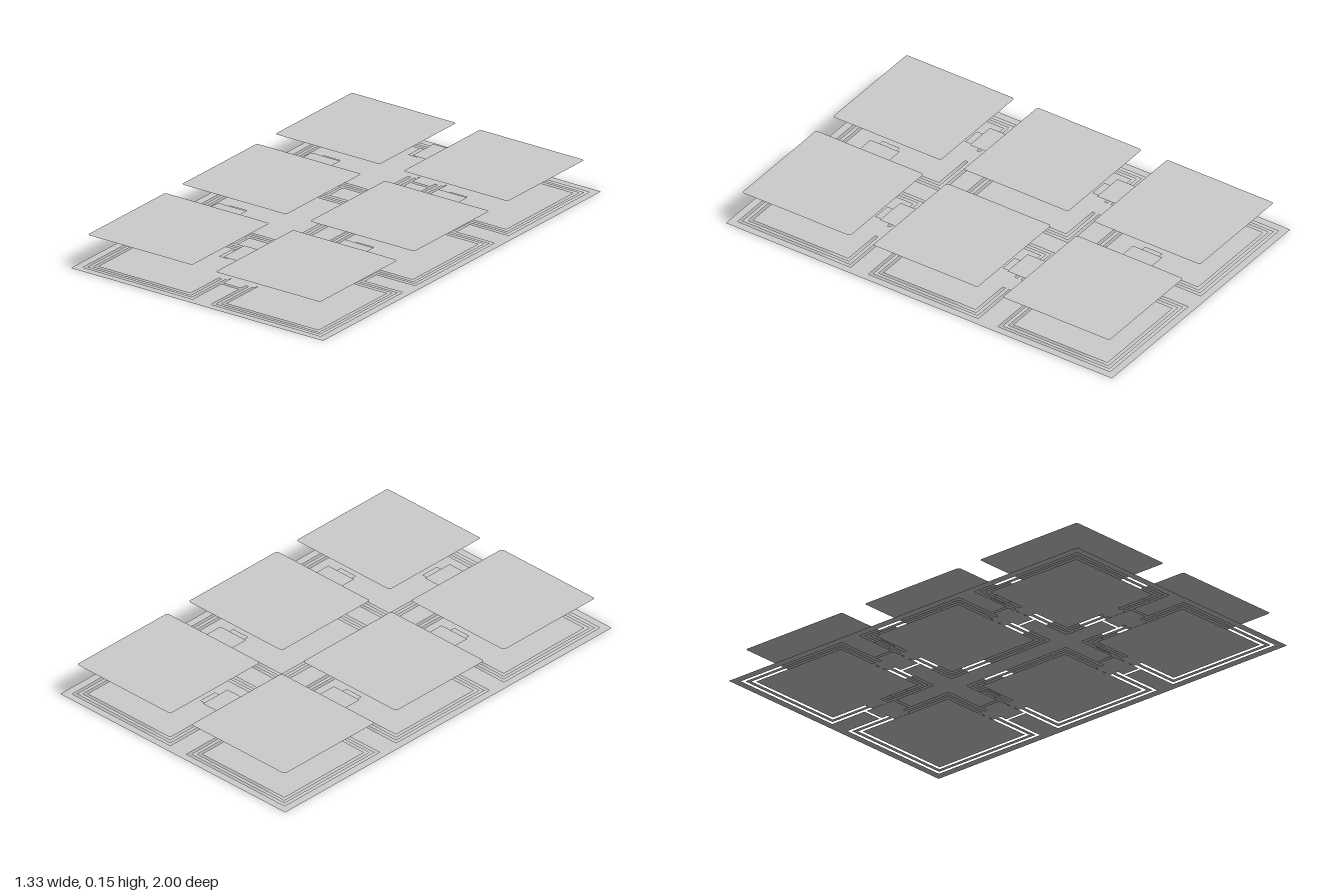
import * as THREE from 'three';

const material = new THREE.MeshStandardMaterial({ color: 0xcccccc, side: THREE.DoubleSide, flatShading: true });

// corner points of a rectangle, with optional cut corners
function corners(x0, x1, z0, z1, cut = 0) {
  const p = cut
    ? [[x0 + cut, z0], [x1 - cut, z0], [x1, z0 + cut], [x1, z1 - cut],
       [x1 - cut, z1], [x0 + cut, z1], [x0, z1 - cut], [x0, z0 + cut]]
    : [[x0, z0], [x1, z0], [x1, z1], [x0, z1]];
  return p.map(([x, z]) => new THREE.Vector2(x, -z));
}

// flat horizontal sheet with optional holes
function sheet(name, y, outline, holes = []) {
  const shape = new THREE.Shape(outline);
  holes.forEach(h => shape.holes.push(new THREE.Path(h)));
  const geometry = new THREE.ShapeGeometry(shape);
  geometry.rotateX(-Math.PI / 2);
  const mesh = new THREE.Mesh(geometry, material);
  mesh.name = name;
  mesh.position.y = y;
  return mesh;
}

export function createModel() {
  const group = new THREE.Group();
  const roofY = 0.15, passageY = 0.12, lintelY = 0.1;
  const slot = 0.014, strip = 0.018;

  // room outlines: two columns by three rows
  const columns = [[-0.628, -0.048], [0.048, 0.628]];
  const rows = [[-0.965, -0.384], [-0.282, 0.288], [0.378, 0.965]];
  const rooms = columns.flatMap(c => rows.map(r => [...c, ...r]));
  const inset = ([x0, x1, z0, z1], d) => [x0 + d, x1 - d, z0 + d, z1 - d];

  // passages: centre and direction between the rooms they join
  const passages = [
    { x: 0, z: -0.69, alongX: true, gap: 0.096 },
    { x: 0, z: 0.67, alongX: true, gap: 0.096 },
    ...[-0.335, 0.335].flatMap(x => [
      { x, z: -0.333, alongX: false, gap: 0.102 },
      { x, z: 0.333, alongX: false, gap: 0.09 }
    ])
  ];
  // rectangle placed in a passage: a runs along it, b across it
  const place = (p, a0, a1, b0, b1) => p.alongX
    ? corners(p.x + a0, p.x + a1, p.z + b0, p.z + b1)
    : corners(p.x + b0, p.x + b1, p.z + a0, p.z + a1);

  // ground sheet with openings for the rooms and the passage wall slots
  const openings = rooms.map(r => corners(...r));
  for (const p of passages) {
    const h = p.gap / 2 - 0.001;
    openings.push(place(p, -h, h, -0.09, -0.078), place(p, -h, h, 0.078, 0.09));
  }
  group.add(sheet('ground', 0, corners(-0.665, 0.665, -1, 1), openings));

  // each room: wall footing between two slots, floor and raised ceiling
  for (const r of rooms) {
    const room = new THREE.Group();
    room.name = 'room';
    room.add(
      sheet('wallFooting', 0, corners(...inset(r, slot)), [corners(...inset(r, slot + strip))]),
      sheet('roomFloor', 0, corners(...inset(r, slot * 2 + strip))),
      sheet('roomCeiling', roofY, corners(...inset(r, slot), 0.008))
    );
    group.add(room);
  }

  // each passage: ceiling, and a threshold and lintel at both doors
  for (const p of passages) {
    const passage = new THREE.Group();
    passage.name = 'passage';
    const h = p.gap / 2;
    passage.add(sheet('passageCeiling', passageY, place(p, -h, h, -0.076, 0.076)));
    for (const s of [-1, 1]) {
      const a = s * h, b = s * (h + slot * 2 + strip);
      const [a0, a1] = [Math.min(a, b), Math.max(a, b)];
      passage.add(
        sheet('doorThreshold', 0.0005, place(p, a0, a1, -0.045, 0.045)),
        sheet('doorLintel', lintelY, place(p, a0, a1, -0.045, 0.045))
      );
    }
    group.add(passage);
  }
  return group;
}
